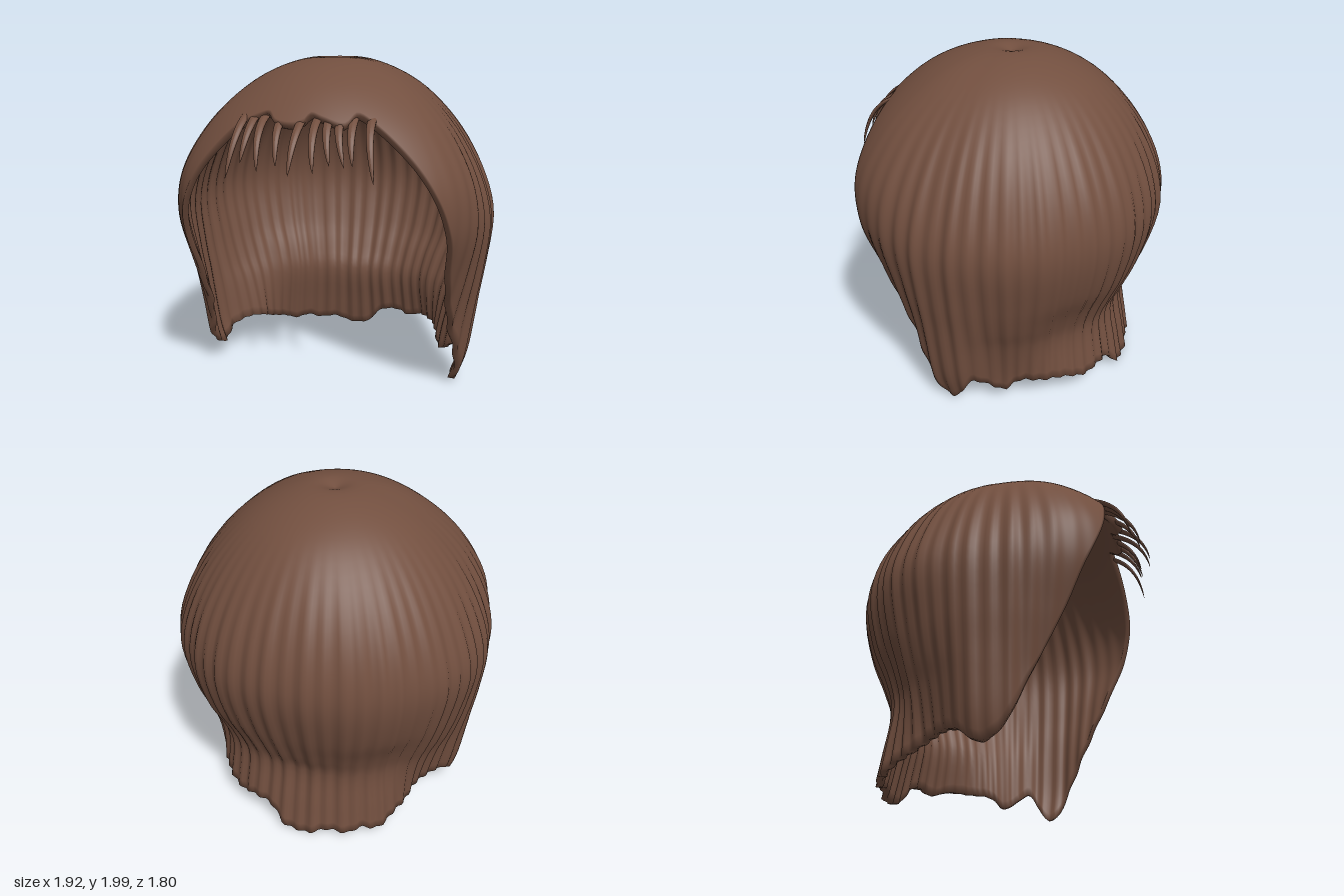
import * as THREE from 'three';
import { mergeVertices } from 'three/addons/utils/BufferGeometryUtils.js';

const smooth = THREE.MathUtils.smoothstep;
const RAD = Math.PI / 180;

// Shell profiles: radius at each height, for several angles away from the front
const HEIGHTS = [1.97, 2.0, 1.95, 1.83, 1.62, 1.35, 1.1, 0.8, 0.6, 0.45, 0.2, 0];
const PROFILES = [
  [0, [0, 0.12, 0.36, 0.58, 0.78, 0.9, 0.92, 0.86, 0.8, 0.74, 0.72, 0.72]],
  [50, [0, 0.12, 0.35, 0.57, 0.8, 0.96, 0.98, 0.89, 0.82, 0.77, 0.74, 0.74]],
  [87, [0, 0.12, 0.32, 0.53, 0.73, 0.88, 0.95, 0.93, 0.9, 0.88, 0.84, 0.77]],
  [112, [0, 0.12, 0.32, 0.53, 0.73, 0.88, 0.95, 0.9, 0.84, 0.78, 0.72, 0.7]],
  [140, [0, 0.12, 0.32, 0.53, 0.73, 0.88, 0.93, 0.87, 0.78, 0.74, 0.77, 0.8]],
  [180, [0, 0.12, 0.32, 0.54, 0.73, 0.86, 0.9, 0.83, 0.75, 0.69, 0.73, 0.77]],
];

// Lower edge all the way round: angle from the front towards +x, height
const HEM = [
  [0, 1.70], [2, 1.73], [8, 1.71], [17, 1.68], [23, 1.73], [31, 1.66], [40, 1.5], [47, 1.28],
  [53, 1.03], [58, 0.8], [65, 0.57], [71, 0.4], [78, 0.2], [83, 0.04], [87, 0.02], [92, 0.1],
  [97, 0.2], [103, 0.14], [110, 0.09], [117, 0.16], [128, 0.18], [140, 0.18], [150, 0.14],
  [157, 0.16], [168, 0.13], [175, 0.03], [180, 0.01], [187, 0.01], [195, 0.05], [205, 0.04],
  [211, 0.07], [218, 0.05], [227, 0.1], [235, 0.13], [245, 0.18], [255, 0.2], [263, 0.18],
  [270, 0.11], [275, 0.11], [282, 0.2], [289, 0.4], [295, 0.57], [302, 0.8], [307, 1.03],
  [313, 1.25], [320, 1.48], [328, 1.65], [336, 1.71], [342, 1.73], [347, 1.69], [356, 1.68], [360, 1.70],
];

// Blend the two nearest profiles into one curve of (radius, height)
function profileAt(angle) {
  let d = angle / RAD;
  if (d > 180) d = 360 - d;
  d = THREE.MathUtils.clamp(d, 0, 180);
  let k = 0;
  while (k < PROFILES.length - 2 && d > PROFILES[k + 1][0]) k++;
  const w = smooth(d, PROFILES[k][0], PROFILES[k + 1][0]);
  return new THREE.CatmullRomCurve3(HEIGHTS.map((y, i) =>
    new THREE.Vector3(THREE.MathUtils.lerp(PROFILES[k][1][i], PROFILES[k + 1][1][i], w), y, 0)));
}

// Curve parameter where the profile reaches a height
function paramAtHeight(curve, y) {
  let lo = 1 / (HEIGHTS.length - 1), hi = 1;
  for (let i = 0; i < 22; i++) {
    const mid = (lo + hi) / 2;
    if (curve.getPoint(mid).y > y) lo = mid; else hi = mid;
  }
  return lo;
}

// Fine vertical flutes, fading out at the crown and the forehead
function flute(angle, y) {
  const fade = (1 - smooth(y, 1.25, 1.9)) * smooth(-Math.cos(angle), -0.75, -0.2);
  return fade * (0.009 * Math.sin(56 * angle + 1.5 * Math.sin(3 * angle))
    + 0.004 * Math.sin(23 * angle + 1));
}

function shellGeometry() {
  const COLS = 320, ROWS = 44, RING = 2 * ROWS + 2;
  const hem = new THREE.CatmullRomCurve3(HEM.map(([a, y]) => new THREE.Vector3(a * RAD, y, 0)));
  const columns = hem.getSpacedPoints(COLS);
  const pos = [], index = [];
  columns.forEach((h, c) => {
    const angle = c === COLS ? 0 : h.x;
    const curve = profileAt(angle);
    const end = paramAtHeight(curve, h.y);
    for (let j = 0; j < RING; j++) {
      // Down the outside, then back up the inside
      const inside = j > ROWS;
      const row = inside ? RING - 1 - j : j;
      const p = curve.getPoint(end * row / ROWS);
      let r = row === 0 ? 0 : p.x + flute(angle, p.y);
      let y = p.y;
      if (inside) {
        r = Math.max(0, r - 0.035 * smooth(r, 0, 0.5));
        y -= 0.035 * smooth(p.y, 1.2, 1.95);
      }
      pos.push(r * Math.sin(angle), y, r * Math.cos(angle));
    }
  });
  for (let c = 0; c < COLS; c++) {
    for (let j = 0; j < RING - 1; j++) {
      const a = c * RING + j, b = a + RING;
      if (j < RING - 2) index.push(a, a + 1, b + 1);
      if (j > 0) index.push(a, b + 1, b);
    }
  }
  const g = new THREE.BufferGeometry();
  g.setAttribute('position', new THREE.Float32BufferAttribute(pos, 3));
  g.setIndex(index);
  const welded = mergeVertices(g, 1e-5);
  welded.computeVertexNormals();
  return welded;
}

// Flattened, pointed strand that follows a bent path
function strandGeometry(x0, x1, tipY, tipZ) {
  const rootZ = 0.69 - 0.5 * x0 * x0;
  const path = new THREE.QuadraticBezierCurve3(
    new THREE.Vector3(x0, 1.71, rootZ - 0.03),
    new THREE.Vector3(x0 * 0.9 + x1 * 0.1, 1.65, tipZ - 0.03),
    new THREE.Vector3(x1, tipY, tipZ));
  const g = new THREE.CylinderGeometry(1, 1, 1, 10, 14);
  const p = g.attributes.position;
  for (let i = 0; i < p.count; i++) {
    const t = 0.5 - p.getY(i);
    const c = path.getPoint(t), d = path.getTangent(t);
    const taper = Math.pow(1 - t, 0.65) * (0.85 + 0.5 * t);
    const across = p.getX(i) * 0.029 * taper;
    const thick = p.getZ(i) * 0.014 * taper;
    const n = new THREE.Vector3(0, -d.z, d.y).normalize().multiplyScalar(-thick);
    p.setXYZ(i, c.x + across, c.y + n.y, c.z + n.z);
  }
  g.computeVertexNormals();
  return g;
}

export function createModel() {
  const group = new THREE.Group();
  group.name = 'hair';
  const brown = new THREE.MeshStandardMaterial({ color: 0x724f3f });
  brown.name = 'brown hair';

  const shell = new THREE.Mesh(shellGeometry(), brown);
  shell.name = 'hairShell';
  group.add(shell);

  // Fringe strands: root x, tip x, tip height, tip depth
  const fringe = new THREE.Group();
  fringe.name = 'fringe';
  [
    [-0.36, -0.41, 1.40, 0.81], [-0.30, -0.33, 1.48, 0.80], [-0.24, -0.22, 1.45, 0.85],
    [-0.14, -0.12, 1.48, 0.84], [-0.02, -0.04, 1.44, 0.89], [0.06, 0.09, 1.46, 0.88],
    [0.12, 0.16, 1.49, 0.82], [0.18, 0.24, 1.48, 0.82], [0.25, 0.28, 1.49, 0.81],
    [0.34, 0.39, 1.40, 0.81],
  ].forEach((s) => {
    const strand = new THREE.Mesh(strandGeometry(...s), brown);
    strand.name = 'fringeStrand';
    fringe.add(strand);
  });
  group.add(fringe);
  return group;
}
